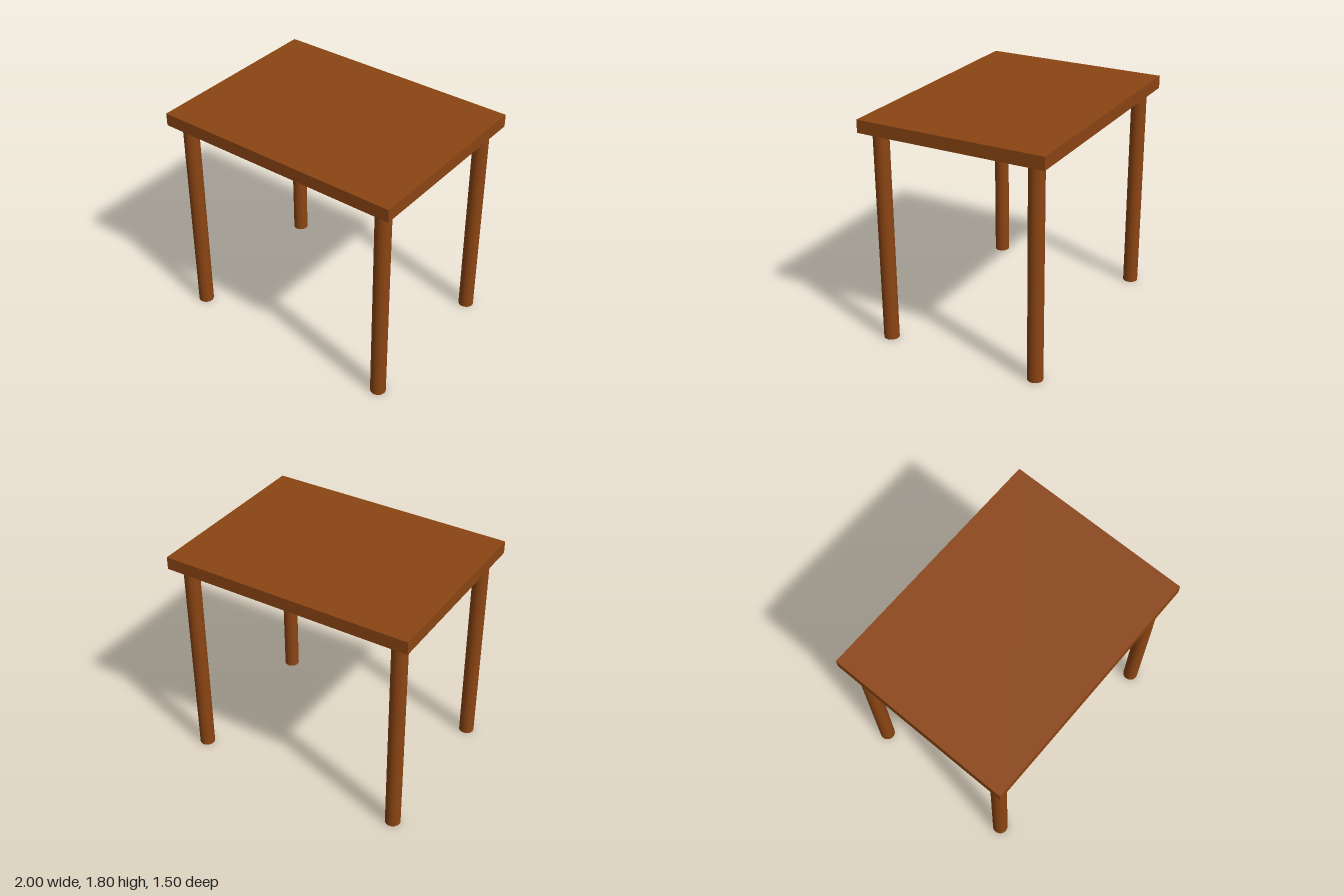
import * as THREE from 'three';

export function createModel() {
  const group = new THREE.Group();
  const wood = new THREE.MeshStandardMaterial({ color: 0x8b4513 });

  const width = 2, depth = 1.5, height = 1.8, thickness = 0.1;
  const legRadius = 0.06, legHeight = height - thickness;
  const legInset = 0.12; // table edge to leg axis

  // Flat rectangular top
  const top = new THREE.Mesh(new THREE.BoxGeometry(width, thickness, depth), wood);
  top.name = 'tableTop';
  top.position.y = height - thickness / 2;
  group.add(top);

  // Four round legs, one near each corner
  const legGeometry = new THREE.CylinderGeometry(legRadius, legRadius, legHeight, 32);
  for (const [side, sx] of [['Left', 1], ['Right', -1]]) {
    for (const [end, sz] of [['front', 1], ['back', -1]]) {
      const leg = new THREE.Mesh(legGeometry, wood);
      leg.name = `${end}${side}Leg`;
      leg.position.set(sx * (width / 2 - legInset), legHeight / 2, sz * (depth / 2 - legInset));
      group.add(leg);
    }
  }

  return group;
}
